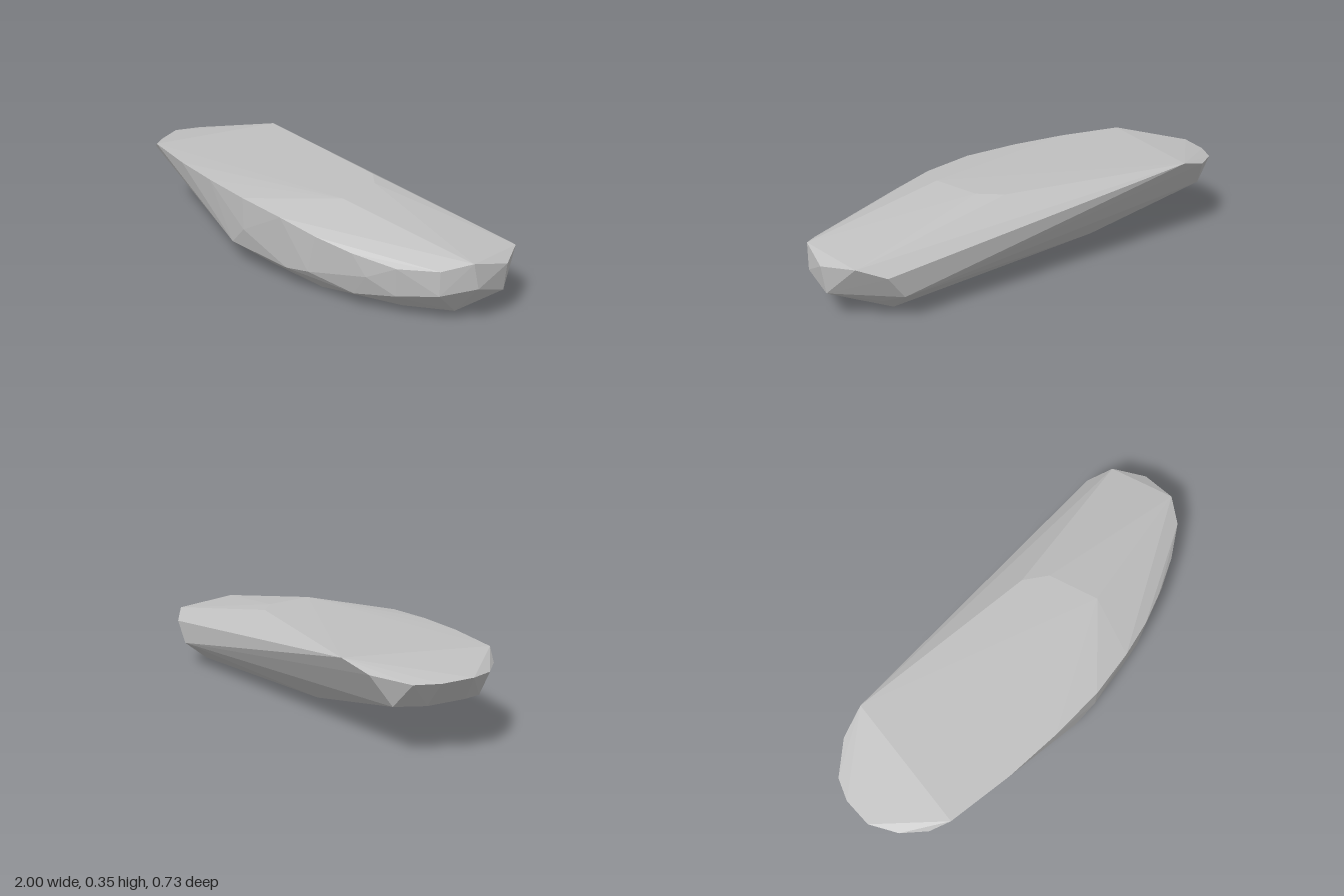
import * as THREE from 'three';
import { ConvexGeometry } from 'three/addons/geometries/ConvexGeometry.js';

export function createModel() {
  const group = new THREE.Group();
  const stone = new THREE.MeshStandardMaterial({ color: 0xc0c0c0 });
  stone.name = 'light grey stone';

  // flat crown of the slab
  const crown = [
    [-0.65, 0.355, -0.365], [0.2, 0.355, -0.19], [0.29, 0.355, -0.11], [0.33, 0.355, 0.115],
  ];
  // upper rim, from the narrow end round the front to the back corner
  const rim = [
    [-0.79, 0.318, -0.34], [-0.93, 0.3, -0.25], [-0.98, 0.303, -0.16], [-1, 0.31, -0.03],
    [-0.95, 0.302, 0.09], [-0.87, 0.305, 0.18], [-0.79, 0.345, 0.23], [-0.5, 0.343, 0.3],
    [-0.25, 0.338, 0.34], [0, 0.328, 0.364], [0.22, 0.305, 0.355], [0.4, 0.27, 0.33],
    [0.56, 0.24, 0.29], [0.74, 0.215, 0.23], [0.89, 0.23, 0.155], [0.97, 0.26, 0.06],
    [1, 0.225, -0.1], [0.93, 0.24, -0.24], [0.83, 0.2, -0.305],
  ];
  // waist below the rim
  const waist = [
    [-0.84, 0.2, -0.27], [-0.9, 0.2, -0.16], [-0.92, 0.205, 0], [-0.895, 0.2, 0.09],
    [0, 0.19, 0.363], [-0.1, 0.1, 0.342], [0.24, 0.09, 0.34], [0.36, 0.11, 0.333],
    [0.62, 0.155, 0.272], [0.55, 0.06, 0.265], [0.73, 0.095, 0.22], [0.89, 0.13, 0.155],
    [0.98, 0.155, 0.04], [0.985, 0.11, -0.105], [0.81, 0.07, -0.22], [0.76, 0.105, -0.305],
  ];
  // shallow belly
  const belly = [
    [-0.25, 0.075, -0.21], [-0.15, 0.045, -0.11], [-0.15, 0.04, 0.2], [0.05, 0.018, 0.245],
    [0.37, 0.026, 0.265], [0.7, 0.025, 0.15], [0.88, 0.033, 0.05], [0.75, 0.02, -0.2],
    [0.35, 0.003, 0.1], [0.6, 0, 0], [0.35, 0.006, -0.04],
  ];

  const points = [...crown, ...rim, ...waist, ...belly].map((p) => new THREE.Vector3(...p));
  const rock = new THREE.Mesh(new ConvexGeometry(points), stone);
  rock.name = 'rock';
  group.add(rock);
  return group;
}
